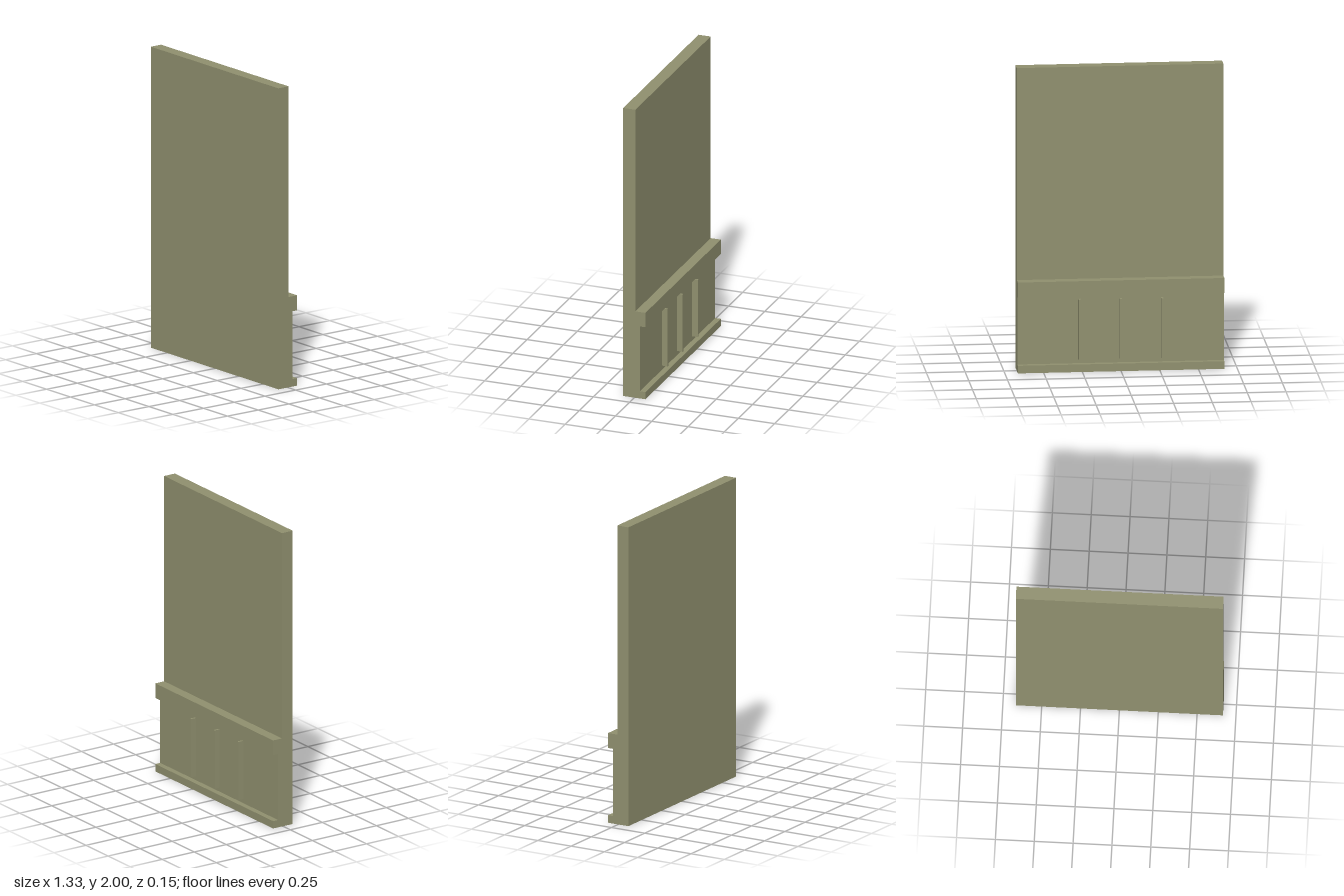
import * as THREE from 'three';

const HALF_W = 0.6667;
const FRONT = 0.0767;     // front face of the wall
const WALL_BACK = -0.007; // rear face of the upper wall
const PANEL_BACK = -0.038;
const TRIM_BACK = -0.0767;

export function createModel() {
  const group = new THREE.Group();
  const olive = new THREE.MeshStandardMaterial({ color: 0x8f8f6e });
  olive.name = 'olive';

  // Box given by its extents on each axis
  const addBox = (name, [x0, x1], [y0, y1], [z0, z1]) => {
    const mesh = new THREE.Mesh(new THREE.BoxGeometry(x1 - x0, y1 - y0, z1 - z0), olive);
    mesh.position.set((x0 + x1) / 2, (y0 + y1) / 2, (z0 + z1) / 2);
    mesh.name = name;
    group.add(mesh);
  };

  // Wall and its wainscot, one stepped profile run along the full width
  const profile = new THREE.Shape([
    [FRONT, 0], [FRONT, 2], [WALL_BACK, 2], [WALL_BACK, 0.6],
    [TRIM_BACK, 0.6], [TRIM_BACK, 0.5], [PANEL_BACK, 0.5], // top rail
    [PANEL_BACK, 0.05], [TRIM_BACK, 0.05], [TRIM_BACK, 0], // panel and skirting
  ].map(([z, y]) => new THREE.Vector2(-z, y)));
  const geometry = new THREE.ExtrudeGeometry(profile, { depth: 2 * HALF_W, bevelEnabled: false });
  geometry.translate(0, 0, -HALF_W).rotateY(Math.PI / 2);
  const wall = new THREE.Mesh(geometry, olive);
  wall.name = 'wallWithWainscot';
  group.add(wall);

  // Upright battens on the wainscot panel
  for (const x of [-0.2667, 0, 0.2667]) {
    addBox('batten', [x - 0.0067, x + 0.0067], [0.078, 0.475], [TRIM_BACK, PANEL_BACK]);
  }
  return group;
}
